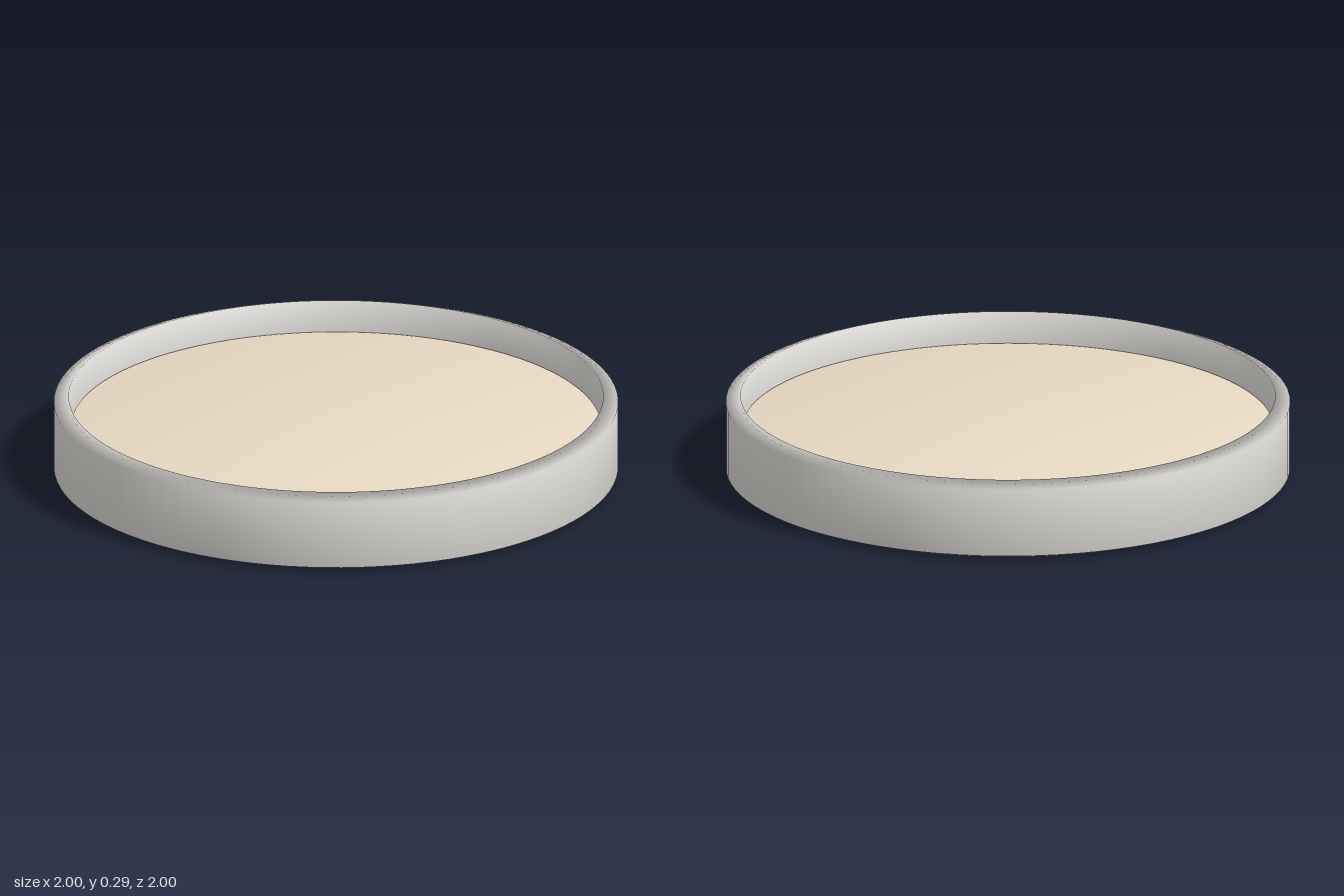
import * as THREE from 'three';

const SEGMENTS = 96;

// Revolve a profile of [radius, height] points around the y axis
function turned(name, profile, color) {
  const points = profile.map(([r, y]) => new THREE.Vector2(r, y));
  const mesh = new THREE.Mesh(
    new THREE.LatheGeometry(points, SEGMENTS),
    new THREE.MeshStandardMaterial({ color })
  );
  mesh.name = name;
  return mesh;
}

export function createModel() {
  const group = new THREE.Group();
  group.name = 'shallowRoundTray';

  // Outer band with bevelled lips; the profile starts and ends halfway up the inner wall
  group.add(turned('rim', [
    [0.947, 0.145], [0.947, 0], [1, 0.02], [1, 0.267], [0.947, 0.287], [0.947, 0.145],
  ], 0xdddcd8));

  // Solid disc inside the band, recessed from the top, softly shaded across its edges
  group.add(turned('disc', [
    [0, 0.015], [0.94, 0.015], [0.94, 0.17], [0, 0.17],
  ], 0xe8d9c3));

  return group;
}
